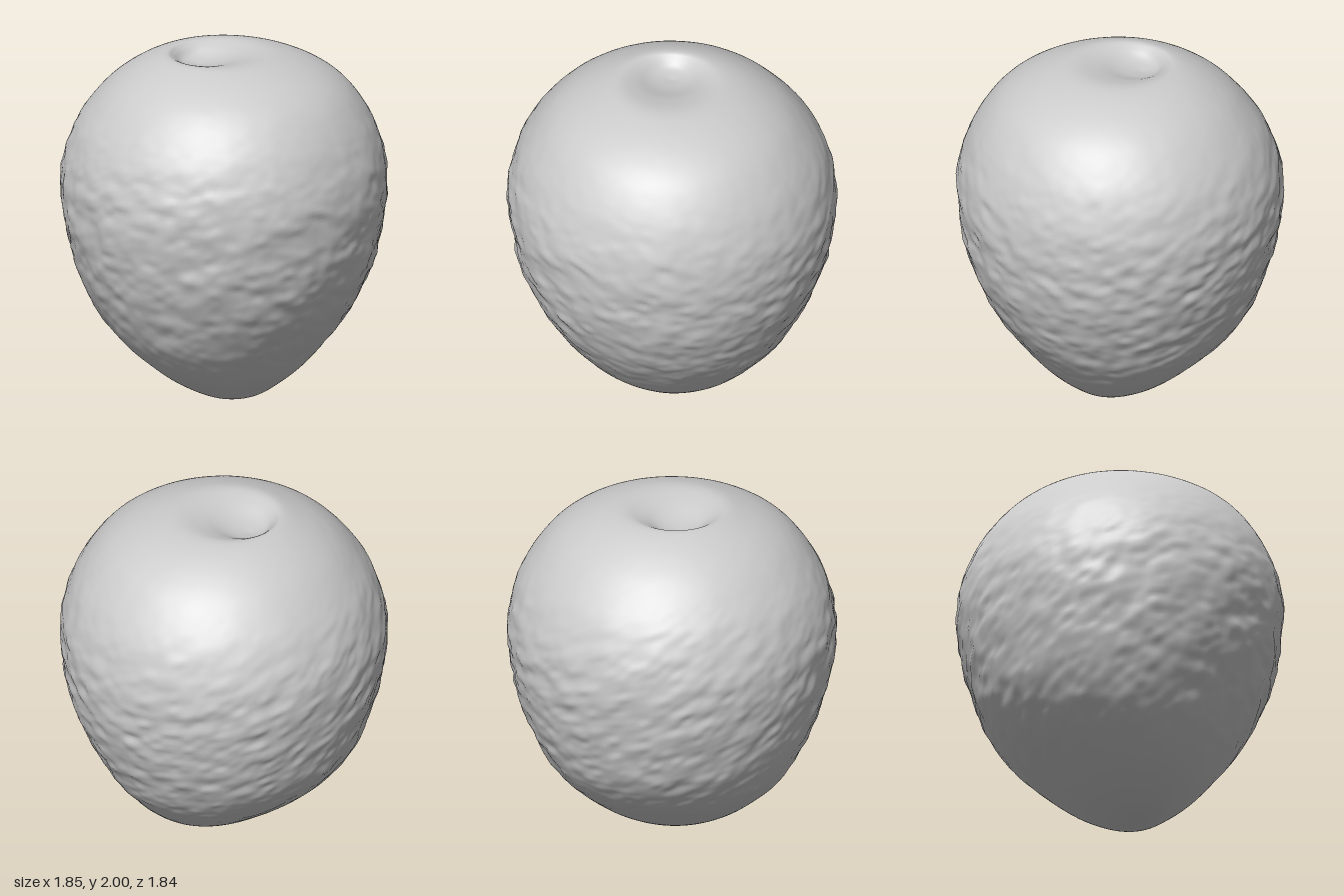
import * as THREE from 'three';

// Seeded lattice hash and smooth 3D value noise in the range -1..1
function hash(x, y, z) {
  let h = Math.imul(x, 374761393) ^ Math.imul(y, 668265263) ^ Math.imul(z, 2147483647 - 61);
  h = Math.imul(h ^ (h >>> 13), 1274126177);
  return ((h ^ (h >>> 16)) >>> 0) / 2147483648 - 1;
}
function noise(x, y, z) {
  const ix = Math.floor(x), iy = Math.floor(y), iz = Math.floor(z);
  const f = (t) => t * t * (3 - 2 * t);
  const u = f(x - ix), v = f(y - iy), w = f(z - iz);
  const mix = THREE.MathUtils.lerp;
  const row = (j, k) => mix(hash(ix, iy + j, iz + k), hash(ix + 1, iy + j, iz + k), u);
  return mix(mix(row(0, 0), row(1, 0), v), mix(row(0, 1), row(1, 1), v), w);
}

// Profile from the bottom pole to the dimple: radius, height, z offset of the ring
const profile = new THREE.CatmullRomCurve3([
  [0, 0, 0.1], [0.17, 0.025, 0.09], [0.33, 0.1, 0.065], [0.47, 0.2, 0.045],
  [0.655, 0.4, 0.005], [0.765, 0.6, -0.005], [0.845, 0.8, 0], [0.895, 1, 0],
  [0.922, 1.25, 0], [0.905, 1.4, 0], [0.835, 1.6, 0.005], [0.69, 1.8, 0.015],
  [0.56, 1.9, 0.01], [0.4, 1.972, -0.01], [0.29, 1.995, -0.03], [0.2, 1.975, -0.08],
  [0.1, 1.932, -0.13], [0, 1.915, -0.15],
].map((p) => new THREE.Vector3(...p)), false, 'centripetal');

// Irregular fruit-like body built from closed rings
function bodyGeometry(rings = 170, sides = 220) {
  const pos = [], index = [];
  const { smoothstep } = THREE.MathUtils;
  for (let i = 0; i <= rings; i++) {
    const p = profile.getPointAt(i / rings);
    const r = i === 0 || i === rings ? 0 : p.x;
    const depth = 0.99 - 0.2 * Math.pow(Math.max(0, 1 - p.y / 0.6), 1.2);
    const cx = p.y > 1.9 ? -0.05 * (1 - smoothstep(r, 0.1, 0.45)) : 0;
    // Roughest around the lower middle, smooth at the crown and base
    const rough = smoothstep(p.y, 0.05, 0.5) * (1 - 0.85 * smoothstep(p.y, 1.1, 1.85));
    for (let j = 0; j < (r === 0 ? 1 : sides); j++) {
      const a = (j / sides) * Math.PI * 2;
      const x = Math.sin(a) * r, z = Math.cos(a) * r * depth;
      const s = p.y + 0.35 * x;
      const n = 0.6 * noise(x * 8 + 20, s * 14, z * 8 + 20)
        + 0.4 * noise(x * 17 + 50, s * 25, z * 17 + 50);
      const k = 1 + 0.019 * rough * n;
      pos.push(cx + x * k, p.y, p.z + z * k);
    }
  }
  const last = pos.length / 3 - 1;
  const id = (i, j) => (i === 0 ? 0 : i === rings ? last : 1 + (i - 1) * sides + (j % sides));
  for (let i = 0; i < rings; i++) {
    for (let j = 0; j < sides; j++) {
      const a = id(i, j), b = id(i, j + 1), c = id(i + 1, j + 1), d = id(i + 1, j);
      if (i > 0) index.push(a, b, c);
      if (i < rings - 1) index.push(a, c, d);
      else continue;
    }
  }
  const g = new THREE.BufferGeometry();
  g.setAttribute('position', new THREE.Float32BufferAttribute(pos, 3));
  g.setIndex(index);
  g.computeVertexNormals();
  return g;
}

export function createModel() {
  const model = new THREE.Group();
  const body = new THREE.Mesh(bodyGeometry(), new THREE.MeshStandardMaterial({ color: 0xcccccc }));
  body.name = 'body';
  model.add(body);
  return model;
}
